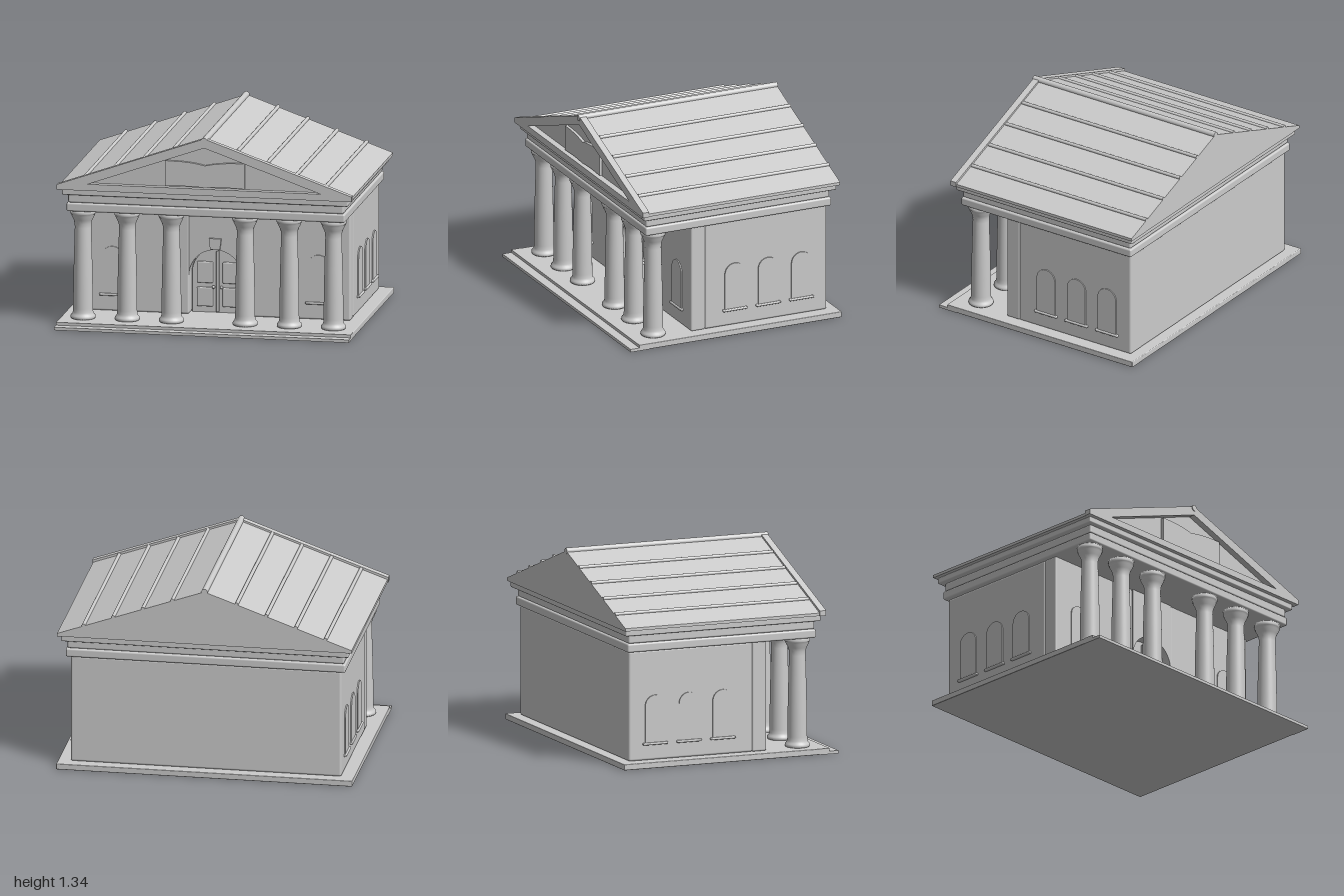
import * as THREE from 'three';
import { RoundedBoxGeometry } from 'three/addons/geometries/RoundedBoxGeometry.js';

export function createModel() {
  const root = new THREE.Group();
  const mat = new THREE.MeshStandardMaterial({ color: 0xcccccc });

  function add(name, geometry, x = 0, y = 0, z = 0, parent = root) {
    const mesh = new THREE.Mesh(geometry, mat);
    mesh.name = name;
    mesh.position.set(x, y, z);
    parent.add(mesh);
    return mesh;
  }
  // Box given by its extents, with optional rounded edges
  function block(name, x0, x1, y0, y1, z0, z1, r = 0, parent = root) {
    const w = x1 - x0, h = y1 - y0, d = z1 - z0;
    const geo = r ? new RoundedBoxGeometry(w, h, d, 3, r) : new THREE.BoxGeometry(w, h, d);
    return add(name, geo, (x0 + x1) / 2, (y0 + y1) / 2, (z0 + z1) / 2, parent);
  }
  const polygon = (pts) => new THREE.Shape(pts.map(([x, y]) => new THREE.Vector2(x, y)));
  const extrude = (shape, depth) =>
    new THREE.ExtrudeGeometry(shape, { depth, bevelEnabled: false, curveSegments: 24 });
  // Round-topped outline standing on y0
  function archShape(halfWidth, y0, top) {
    const s = new THREE.Shape();
    s.moveTo(-halfWidth, y0);
    s.lineTo(halfWidth, y0);
    s.lineTo(halfWidth, top - halfWidth);
    s.absarc(0, top - halfWidth, halfWidth, 0, Math.PI, false);
    s.closePath();
    return s;
  }

  // Platform and steps
  block('platform', -1, 1, 0, 0.04, -0.78, 0.64, 0.005);
  block('upperStep', -1, 1, 0, 0.04, 0.635, 0.71);
  block('lowerStep', -1, 1, 0, 0.02, 0.71, 0.775);

  // Hall and front walls
  block('hall', -0.915, 0.915, 0.04, 0.785, -0.71, 0.19, 0.015);
  block('frontWallLeft', 0.18, 0.915, 0.04, 0.785, 0.185, 0.29, 0.012);
  block('frontWallRight', -0.915, -0.18, 0.04, 0.785, 0.185, 0.29, 0.012);

  // Wall over the arched doorway
  const over = new THREE.Shape();
  over.moveTo(-0.18, 0.785);
  over.lineTo(-0.18, 0.305);
  over.absarc(0, 0.305, 0.18, Math.PI, 0, true);
  over.lineTo(0.18, 0.785);
  over.closePath();
  add('doorwayArch', extrude(over, 0.106), 0, 0, 0.189);
  const key = polygon([[-0.033, 0.49], [0.033, 0.49], [0.042, 0.565], [-0.042, 0.565]]);
  add('keystone', extrude(key, 0.03), 0, 0, 0.282);

  // Double door
  const door = new THREE.Group();
  door.name = 'door';
  root.add(door);
  add('doorLeaves', extrude(archShape(0.175, 0.04, 0.482), 0.02), 0, 0, 0.185, door);
  block('doorCentreStrip', -0.01, 0.01, 0.045, 0.46, 0.2, 0.22, 0.004, door);
  for (const s of [-1, 1]) {
    for (const [y0, y1] of [[0.08, 0.21], [0.24, 0.385]]) {
      block('doorPanel', s * 0.0875 - 0.055, s * 0.0875 + 0.055, y0, y1, 0.19, 0.22, 0.008, door);
    }
    add('doorKnob', new THREE.SphereGeometry(0.011, 16, 12), s * 0.027, 0.215, 0.225, door);
  }

  // Arched windows with sills, built facing +z
  function makeWindow(x, z, turn) {
    const g = new THREE.Group();
    g.name = 'window';
    add('windowPane', extrude(archShape(0.073, 0.155, 0.48), 0.013), 0, 0, -0.005, g);
    block('windowSill', -0.09, 0.09, 0.143, 0.16, -0.01, 0.018, 0.007, g);
    g.position.set(x, 0, z);
    g.rotation.y = turn;
    root.add(g);
  }
  for (const s of [-1, 1]) {
    makeWindow(s * 0.7, 0.29, 0);
    for (const z of [-0.03, -0.275, -0.52]) makeWindow(s * 0.915, z, s * Math.PI / 2);
  }

  // Porch columns
  const profile = [
    [0, 0.04], [0.08, 0.04], [0.084, 0.05], [0.082, 0.062], [0.073, 0.07], [0.068, 0.085],
    [0.066, 0.11], [0.065, 0.25], [0.061, 0.45], [0.055, 0.66], [0.056, 0.69], [0.064, 0.715],
    [0.078, 0.742], [0.078, 0.752], [0.084, 0.755], [0.086, 0.765], [0.085, 0.785], [0, 0.785],
  ].map(([r, y]) => new THREE.Vector2(r, y));
  const columnGeo = new THREE.LatheGeometry(profile, 32);
  for (const x of [0.25, 0.55, 0.85]) {
    for (const s of [-1, 1]) add('column', columnGeo, s * x, 0, 0.54);
  }

  // Entablature
  block('architrave', -0.945, 0.945, 0.783, 0.842, -0.73, 0.637, 0.012);
  block('frieze', -0.935, 0.935, 0.842, 0.902, -0.72, 0.63, 0.012);
  block('cornice', -0.97, 0.97, 0.9, 0.941, -0.755, 0.66, 0.008);

  // Roof and front pediment frame
  const roof = polygon([[-0.995, 0.94], [0.995, 0.94], [0.995, 0.96], [0, 1.315], [-0.995, 0.96]]);
  add('roof', extrude(roof, 1.41), 0, 0, -0.77);
  const frame = polygon([[-1, 0.94], [1, 0.94], [1, 0.975], [0, 1.328], [-1, 0.975]]);
  frame.holes.push(polygon([[-0.79, 0.985], [0, 1.265], [0.79, 0.985]]));
  add('pedimentFrame', extrude(frame, 0.046), 0, 0, 0.639);

  // Open book relief in the pediment
  const book = new THREE.Shape();
  book.moveTo(-0.27, 0.99);
  book.quadraticCurveTo(-0.1, 1.0, 0, 0.988);
  book.quadraticCurveTo(0.1, 1.0, 0.27, 0.99);
  book.lineTo(0.27, 1.163);
  book.quadraticCurveTo(0.1, 1.165, 0, 1.138);
  book.quadraticCurveTo(-0.1, 1.165, -0.27, 1.163);
  add('bookRelief', extrude(book, 0.022), 0, 0, 0.638);

  // Ridge roll and standing seams
  const rodAlongZ = (r, length) => new THREE.CylinderGeometry(r, r, length, 20).rotateX(Math.PI / 2);
  add('ridgeRoll', rodAlongZ(0.021, 1.462), 0, 1.314, -0.041);
  const seamGeo = rodAlongZ(0.012, 1.405);
  for (const x of [0.217, 0.417, 0.617, 0.817]) {
    const y = 1.315 - x * 0.355 / 0.995;
    for (const s of [-1, 1]) add('roofSeam', seamGeo, s * x, y + 0.003, -0.0675);
  }
  return root;
}
